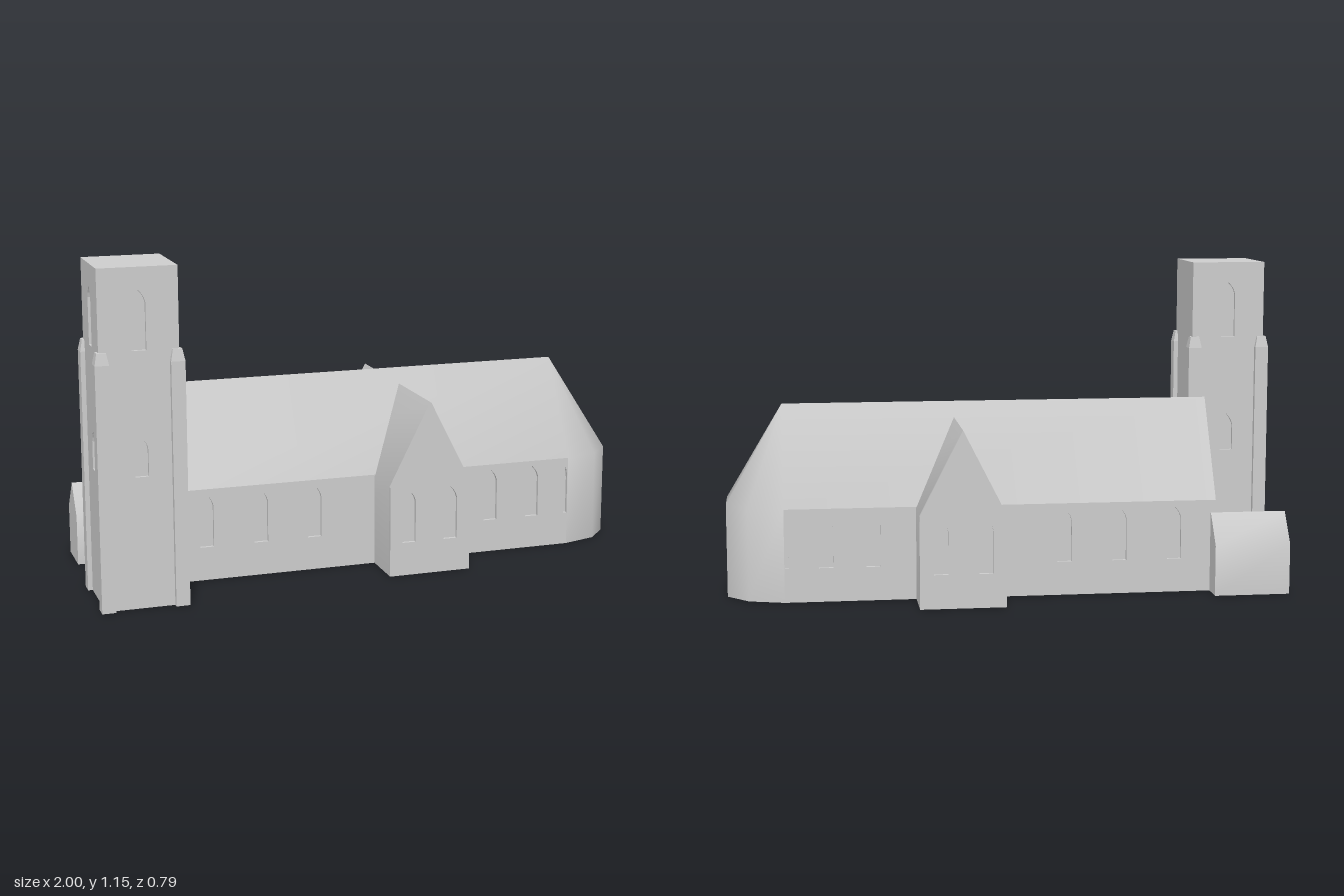
import * as THREE from 'three';
import { toCreasedNormals } from 'three/addons/utils/BufferGeometryUtils.js';

const RECESS = 0.012; // depth of the window niches
const CREASE = 0.9;

export function createModel() {
  const stone = new THREE.MeshStandardMaterial({ color: 0xcccccc });
  stone.name = 'stone';
  const church = new THREE.Group();
  church.name = 'church';

  const add = (parent, name, geometry, x = 0, y = 0, z = 0, rotY = 0) => {
    const mesh = new THREE.Mesh(geometry, stone);
    mesh.name = name;
    mesh.position.set(x, y, z);
    mesh.rotation.y = rotY;
    parent.add(mesh);
    return mesh;
  };
  const group = (name, x, z) => {
    const g = new THREE.Group();
    g.name = name;
    g.position.set(x, 0, z);
    church.add(g);
    return g;
  };
  const shapeOf = (pts) => new THREE.Shape(pts.map(([x, y]) => new THREE.Vector2(x, y)));

  // pointed-arch window opening
  const lancet = (x, y0, y1, w = 0.05) => {
    const p = new THREE.Path();
    const h = w / 2, s = y1 - 0.042;
    p.moveTo(x - h, y0);
    p.lineTo(x + h, y0);
    p.lineTo(x + h, s);
    p.quadraticCurveTo(x + h * 0.8, s + 0.025, x, y1);
    p.quadraticCurveTo(x - h * 0.8, s + 0.025, x - h, s);
    p.closePath();
    return p;
  };

  // thin wall slab pierced by windows, centred on its thickness
  const wall = (outline, windows) => {
    const shape = shapeOf(outline);
    shape.holes.push(...windows);
    return new THREE.ExtrudeGeometry(shape, { depth: RECESS, bevelEnabled: false, curveSegments: 3 })
      .translate(0, 0, -RECESS / 2);
  };
  const rect = (x0, x1, h) => [[x0, 0], [x1, 0], [x1, h], [x0, h]];
  const gable = (h, eave, ridge) => [[-h, 0], [h, 0], [h, eave], [0, ridge], [-h, eave]];

  // gabled block along z
  const gabledBlock = (outline, length) => toCreasedNormals(
    new THREE.ExtrudeGeometry(shapeOf(outline), { depth: length, bevelEnabled: false })
      .translate(0, 0, -length / 2), CREASE);

  // ---- nave with faceted apse ----
  const nave = group('nave', 0, -0.041);
  const west = -0.73, east = 0.8, half = 0.197, eave = 0.33, ridge = 0.675;
  const plan = [[east, half], [0.925, 0.16], [1, 0.08], [1, -0.08], [0.925, -0.16], [east, -half]];
  const verts = [];
  const poly = (...p) => {
    for (let i = 1; i < p.length - 1; i++) verts.push(...p[0], ...p[i], ...p[i + 1]);
  };
  const at = ([x, z], y) => [x, y, z];
  const southWest = [west, half], northWest = [west, -half];
  const apexE = [east, ridge, 0], apexW = [west, ridge, 0];
  for (let i = 0; i < plan.length - 1; i++) {
    const a = plan[i], b = plan[i + 1];
    poly(at(a, 0), at(b, 0), at(b, eave), at(a, eave)); // apse wall
    poly(at(a, eave), at(b, eave), apexE);              // apse roof
  }
  poly(at(southWest, eave), at(plan[0], eave), apexE, apexW);
  poly(at(plan[5], eave), at(northWest, eave), apexW, apexE);
  poly(at(northWest, 0), at(southWest, 0), at(southWest, eave), apexW, at(northWest, eave));
  poly(...[...plan, northWest, southWest].reverse().map((p) => at(p, 0)));
  const shell = new THREE.BufferGeometry();
  shell.setAttribute('position', new THREE.Float32BufferAttribute(verts, 3));
  shell.computeVertexNormals();
  add(nave, 'naveRoofAndApse', toCreasedNormals(shell, CREASE));

  // side walls in front of a solid core, which closes the niches
  const core = half - RECESS;
  add(nave, 'naveCore', new THREE.BoxGeometry(east - west - 0.004, eave - 0.002, core * 2),
    (east + west) / 2, eave / 2, 0);
  for (const side of [1, -1]) {
    const windows = [-0.58, -0.383, -0.186, 0.49, 0.655].map((x) => lancet(x, 0.12, 0.31));
    windows.push(lancet(0.791, 0.12, 0.295, 0.014));
    add(nave, side > 0 ? 'naveFrontWall' : 'naveBackWall',
      wall(rect(west, east, eave), windows), 0, 0, side * (half - RECESS / 2));
  }

  // ---- transept ----
  const transept = group('transept', 0.19, -0.035);
  const transeptOutline = gable(0.15, 0.325, 0.62);
  const reach = 0.36;
  add(transept, 'transeptBody', gabledBlock(transeptOutline, 2 * (reach - RECESS)));
  for (const side of [1, -1]) {
    const windows = [-0.08, 0.076].map((x) => lancet(x, 0.12, 0.31));
    add(transept, side > 0 ? 'transeptFrontGable' : 'transeptBackGable',
      wall(transeptOutline, windows), 0, 0, side * (reach - RECESS / 2));
  }

  // ---- small porch at the west end ----
  add(church, 'porch', gabledBlock(gable(0.08, 0.18, 0.285), 0.27), -0.847, 0, -0.242, Math.PI / 2);

  // ---- tower ----
  const tower = group('tower', -0.85, 0.244);
  const th = 1.155, tx = 0.134, tz = 0.136;
  add(tower, 'towerCore', new THREE.BoxGeometry(2 * tx - RECESS, th, 2 * (tz - RECESS)), RECESS / 2, th / 2, 0);
  const towerWindows = () => [lancet(0, 0.88, 1.08), lancet(0, 0.455, 0.59, 0.046)];
  for (const side of [1, -1]) {
    add(tower, side > 0 ? 'towerFrontWall' : 'towerBackWall',
      wall(rect(-tx, tx, th), towerWindows()), 0, 0, side * (tz - RECESS / 2));
  }
  add(tower, 'towerWestWall', wall(rect(-tz, tz, th), towerWindows()), -tx + RECESS / 2, 0, 0, Math.PI / 2);

  // corner buttresses with tapered caps
  const bw = 0.048, bh = 0.84;
  const cap = toCreasedNormals(
    new THREE.CylinderGeometry(0.016 * Math.SQRT2, bw / Math.SQRT2, 0.04, 4).rotateY(Math.PI / 4), 0.1);
  for (const sx of [1, -1]) {
    for (const sz of [1, -1]) {
      const x = sx * (0.15 - bw / 2), z = sz * (0.154 - bw / 2);
      add(tower, 'buttress', new THREE.BoxGeometry(bw, bh, bw), x, bh / 2, z);
      add(tower, 'buttressCap', cap, x, bh + 0.02, z);
    }
  }
  return church;
}
